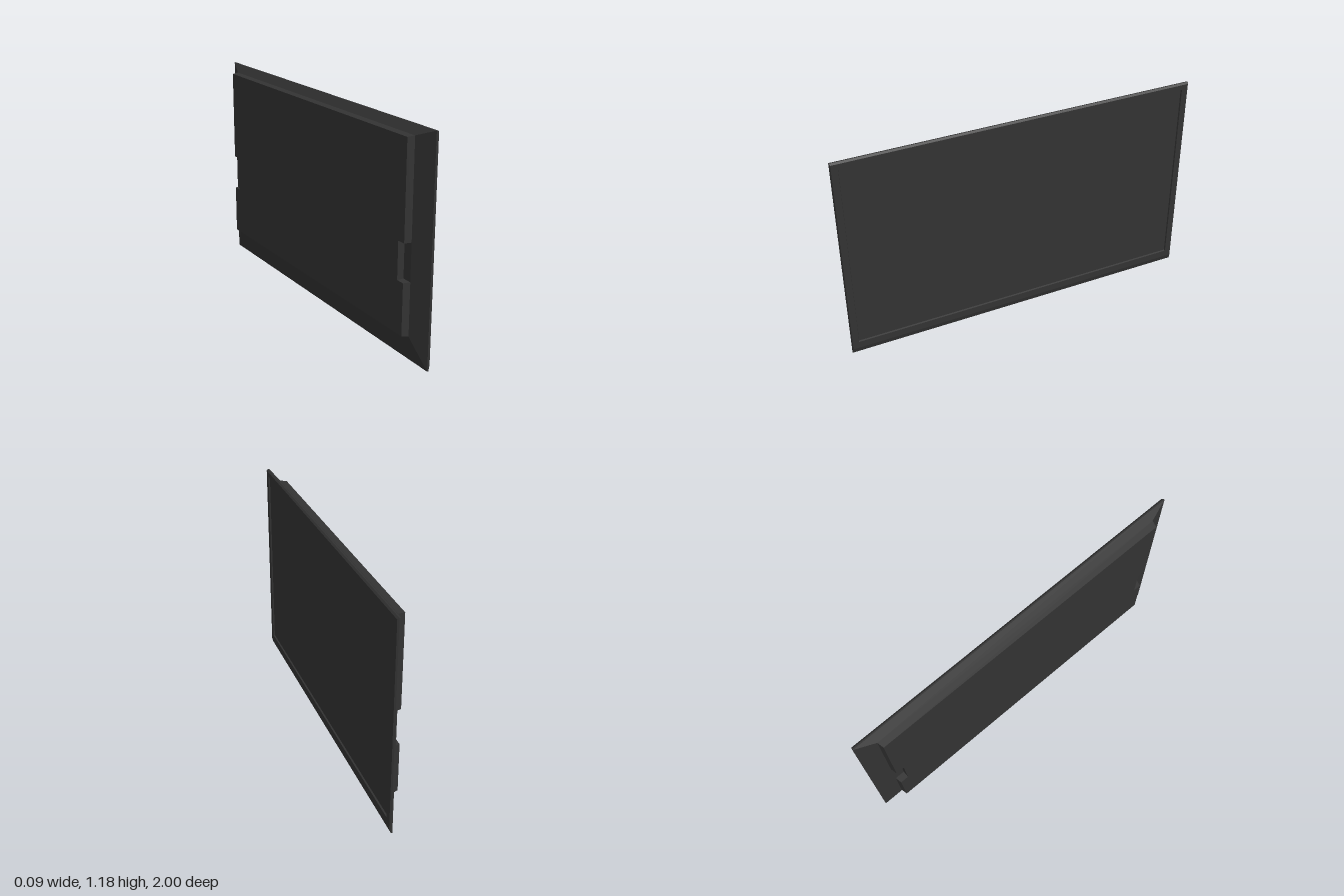
import * as THREE from 'three';

const material = new THREE.MeshStandardMaterial({ color: 0x333333, flatShading: true });

// Joins outlines along x; each ring is { x, points }, points are (-z, y), counter-clockwise from +x.
function loft(name, rings, capBack, capFront) {
  const pos = [];
  const put = (ring, j) => {
    const p = ring.points[j % ring.points.length];
    pos.push(ring.x, p.y, -p.x);
  };
  for (let i = 0; i < rings.length - 1; i++) {
    const [a, b] = [rings[i], rings[i + 1]];
    for (let j = 0; j < a.points.length; j++) {
      put(a, j); put(a, j + 1); put(b, j + 1);
      put(a, j); put(b, j + 1); put(b, j);
    }
  }
  const cap = (ring, flip) => {
    for (const f of THREE.ShapeUtils.triangulateShape(ring.points, [])) {
      for (const k of flip ? [f[0], f[2], f[1]] : f) put(ring, k);
    }
  };
  if (capBack) cap(rings[0], true);
  if (capFront) cap(rings[rings.length - 1], false);
  const geometry = new THREE.BufferGeometry();
  geometry.setAttribute('position', new THREE.Float32BufferAttribute(pos, 3));
  geometry.computeVertexNormals();
  const mesh = new THREE.Mesh(geometry, material);
  mesh.name = name;
  return mesh;
}

const outline = (list) => list.map(([u, y]) => new THREE.Vector2(u, y));

// Plain rectangle ring: half width, bottom, top
const rect = (x, half, bottom, top) => ({
  x, points: outline([[-half, bottom], [half, bottom], [half, top], [-half, top]]),
});

// Rectangle ring with a hand grip cut into both sides
function gripped(x, half, bottom, top) {
  const inner = 0.835, lo = 0.43, hi = 0.63;
  return {
    x,
    points: outline([
      [-half, bottom], [half, bottom],
      [half, lo], [inner, lo], [inner, hi], [half, hi],
      [half, top], [-half, top],
      [-half, hi], [-inner, hi], [-inner, lo], [-half, lo],
    ]),
  };
}

export function createModel() {
  const group = new THREE.Group();
  group.name = 'flatScreenDisplay';

  // Raised rear housing with side grips
  group.add(loft('rearHousing', [
    gripped(-0.045, 0.882, 0.155, 1.14),
    gripped(-0.008, 0.89, 0.147, 1.144),
  ], true, false));

  // Flared rear, thin rim, front bezel and the step down to the screen
  group.add(loft('bezel', [
    rect(-0.008, 0.89, 0.147, 1.144),
    rect(0.027, 1, 0, 1.185),
    rect(0.034, 1, 0, 1.185),
    rect(0.043, 0.996, 0.03, 1.177),
    rect(0.043, 0.961, 0.069, 1.149),
    rect(0.035, 0.958, 0.072, 1.146),
  ], true, false));

  // Recessed screen
  group.add(loft('screen', [rect(0.035, 0.958, 0.072, 1.146)], false, true));

  return group;
}
